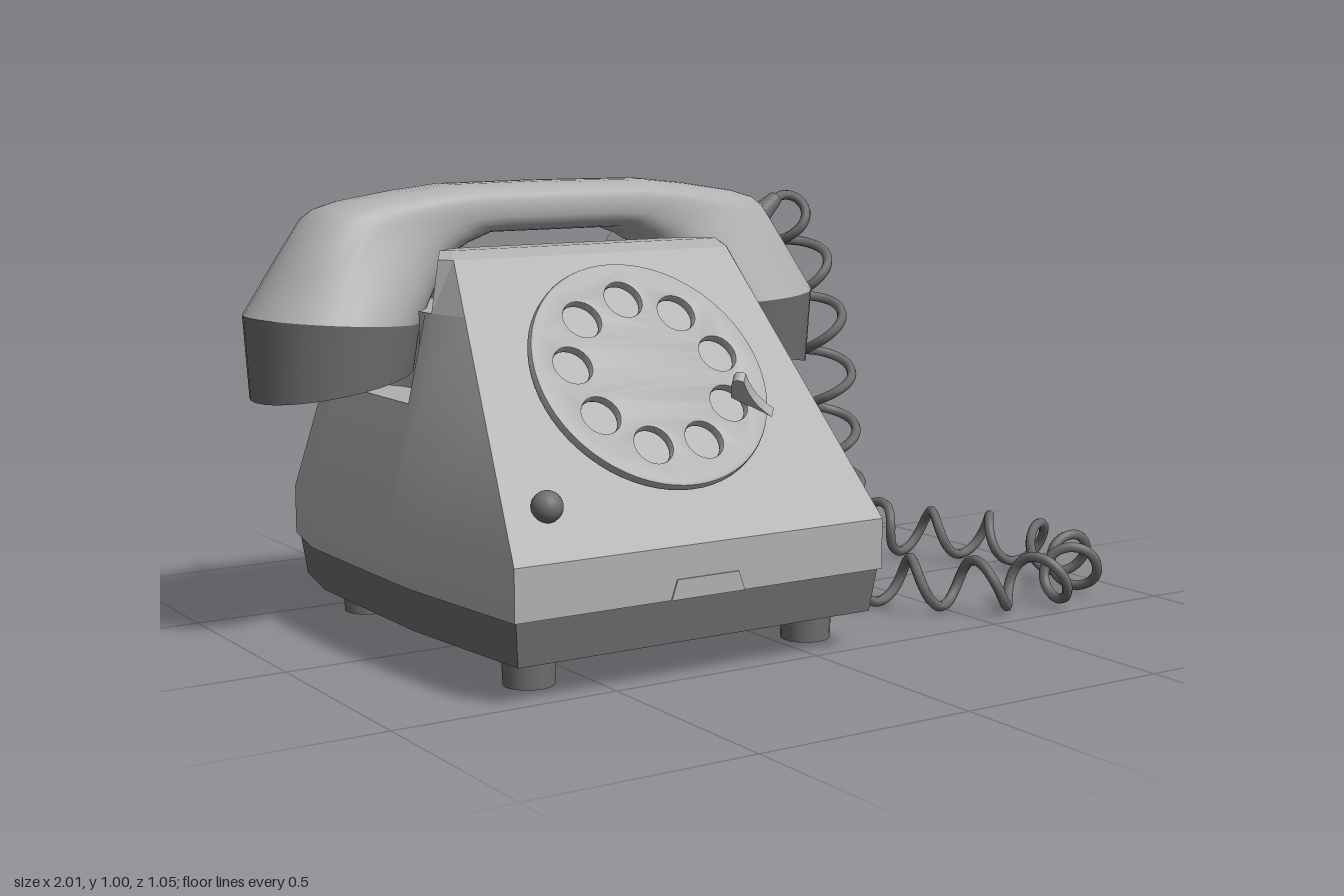
import * as THREE from 'three';
import { toCreasedNormals } from 'three/addons/utils/BufferGeometryUtils.js';

const CX = -0.295; // centre line of the telephone

// Skin between rings of points, closed with fans at the ends
function loft(rings, crease = 0.5, capStart = true, capEnd = true) {
  const pos = [];
  const tri = (a, b, c) => pos.push(...a, ...b, ...c);
  const centre = (r) => [0, 1, 2].map((k) => r.reduce((s, p) => s + p[k], 0) / r.length);
  const n = rings[0].length;
  for (let j = 0; j + 1 < rings.length; j++) {
    for (let i = 0; i < n; i++) {
      const k = (i + 1) % n, a = rings[j], b = rings[j + 1];
      tri(a[i], a[k], b[k]);
      tri(a[i], b[k], b[i]);
    }
  }
  const first = rings[0], last = rings[rings.length - 1];
  for (let i = 0; i < n; i++) {
    const k = (i + 1) % n;
    if (capStart) tri(centre(first), first[k], first[i]);
    if (capEnd) tri(centre(last), last[i], last[k]);
  }
  const g = new THREE.BufferGeometry();
  g.setAttribute('position', new THREE.Float32BufferAttribute(pos, 3));
  return toCreasedNormals(g, crease);
}

// Outline measures of the housing at height y
function outline(y) {
  const t = Math.max(0, (y - 0.29) / 0.577), mix = THREE.MathUtils.lerp;
  return {
    corner: mix(0.45, 0.34, t), side: mix(0.49, 0.36, t),
    front: mix(0.525, 0.07, t), back: mix(-0.525, -0.36, t), sideZ: mix(0.13, 0.05, t),
  };
}

// Plan section of the housing; pocket carves the round recesses beside the cups
function section(y, pocket = false, scale = 1) {
  const o = outline(y);
  const half = [[o.corner, o.front], [o.side, o.sideZ]];
  for (let d = 68; d >= -68; d -= 17) {
    const a = THREE.MathUtils.degToRad(d);
    const arc = 0.515 - 0.2 * Math.cos(a);
    half.push([pocket ? Math.min(o.side, arc) : o.side, -0.147 + 0.2 * Math.sin(a)]);
  }
  half.push([o.side, -0.34], [o.corner, o.back]);
  const all = [...half, ...half.slice().reverse().map(([x, z]) => [-x, z])];
  return all.map(([x, z]) => [x * scale, y, z * scale]);
}

export function createModel() {
  const light = new THREE.MeshStandardMaterial({ color: 0xb0b0b0 });
  light.name = 'light grey';
  const dark = new THREE.MeshStandardMaterial({ color: 0x6e6e6e });
  dark.name = 'dark grey';
  const model = new THREE.Group();
  model.name = 'telephone';
  const add = (name, geo, mat, parent = model) => {
    const m = new THREE.Mesh(geo, mat);
    m.name = name;
    parent.add(m);
    return m;
  };

  // Housing
  const body = new THREE.Group();
  body.name = 'body';
  body.position.x = CX;
  model.add(body);
  add('housing', loft([section(0.18), section(0.29), section(0.55), section(0.55, true),
    section(0.74, true)], 0.3), light, body);
  const plinth = (y, s) => section(0.2, false, s).map(([x, , z]) => [x, y, z]);
  add('base', loft([plinth(0.085, 0.96), plinth(0.18, 0.985)], 0.3), dark, body);

  // Wall in front of the handset
  const wall = [[0.74, 0, 0], [0.85, 0, 0], [0.867, 0.012, 0.03]].map(([y, inX, inZ]) => {
    const o = outline(y);
    const h = [[o.corner - inX, o.front - inZ], [o.side - inX, Math.min(o.sideZ, o.front - inZ - 0.01)],
      [0.3, -0.01], [0.24, -0.02]];
    return [...h, ...h.slice().reverse().map(([x, z]) => [-x, z])].map(([x, z]) => [x, y, z]);
  });
  add('cradleFront', loft(wall, 0.3), light, body);

  // Rear cradle prongs
  for (const s of [1, -1]) {
    const rings = [[0.74, 0.25, -0.26, 0], [0.85, 0.305, -0.295, 0], [0.867, 0.315, -0.31, 0.012]].map(
      ([y, inner, z, inset]) => {
        const o = outline(y);
        const r = [[inner, z], [inner + 0.015, z - 0.005], [o.side - inset, -0.33],
          [o.corner - inset, o.back + inset], [inner, o.back + inset]].map(([x, pz]) => [s * x, y, pz]);
        return s > 0 ? r : r.reverse();
      });
    add(s > 0 ? 'leftCradleProng' : 'rightCradleProng', loft(rings, 0.3), light, body);
  }

  // Rounded ridge under the handle
  const ridge = new THREE.Shape([[0.02, 0.7], [0.02, 0.8], [0.27, 0.8], [0.32, 0.793], [0.355, 0.777],
    [0.38, 0.757], [0.396, 0.74], [0.396, 0.7]].map(([x, y]) => new THREE.Vector2(x, y)));
  const ridgeGeo = new THREE.ExtrudeGeometry(ridge, { depth: 0.48, bevelEnabled: false });
  ridgeGeo.translate(0, 0, -0.24).rotateY(Math.PI / 2);
  add('cradleRidge', toCreasedNormals(ridgeGeo, 0.5), light, body);

  // Feet
  for (const x of [-0.345, 0.345]) {
    for (const z of [-0.365, 0.39]) {
      add('foot', new THREE.CylinderGeometry(0.057, 0.054, 0.075, 20), dark, body).position.set(x, 0.053, z);
    }
  }

  // Small trapezoid tab at the lower front edge
  const tab = new THREE.Shape([[-0.09, 0.18], [0.09, 0.18], [0.075, 0.222], [-0.075, 0.222]]
    .map(([x, y]) => new THREE.Vector2(x, y)));
  add('frontTab', new THREE.ExtrudeGeometry(tab, { depth: 0.004, bevelEnabled: false }), light, body)
    .position.z = 0.524;

  // Dial on the sloping face
  const dial = new THREE.Group();
  dial.name = 'dial';
  dial.position.set(0, 0.595, 0.284);
  dial.rotation.x = -Math.atan2(0.455, 0.577);
  body.add(dial);
  const disc = new THREE.Shape().absarc(0, 0, 0.268, 0, Math.PI * 2);
  for (let i = 0; i < 9; i++) {
    const a = Math.PI / 2 + (i * Math.PI * 2) / 9;
    disc.holes.push(new THREE.Path().absarc(0.182 * Math.cos(a), 0.182 * Math.sin(a), 0.049, 0, Math.PI * 2, true));
  }
  const discGeo = new THREE.ExtrudeGeometry(disc, {
    depth: 0.012, bevelThickness: 0.006, bevelSize: 0.006, bevelSegments: 2, curveSegments: 32,
  });
  add('fingerWheel', toCreasedNormals(discGeo, 0.6), light, dial).position.z = 0.018;

  // Curved finger stop
  const hook = new THREE.Shape();
  hook.moveTo(0, 0);
  hook.lineTo(0.1, 0);
  hook.quadraticCurveTo(0.04, 0.012, 0, 0.062);
  hook.quadraticCurveTo(-0.022, 0.06, -0.018, 0.04);
  const hookGeo = new THREE.ExtrudeGeometry(hook, { depth: 0.025, bevelEnabled: false });
  hookGeo.translate(0, 0, -0.0125).rotateX(Math.PI / 2).scale(1, 1, -1);
  hookGeo.rotateY(Math.PI);
  hookGeo.scale(-1, 1, -1);
  const stop = add('fingerStop', hookGeo, light, dial);
  stop.position.set(0.175, -0.068, 0.034);
  stop.rotation.z = -0.6;
  hookGeo.computeBoundingBox();
  if (hookGeo.boundingBox.max.z < 0.03) hookGeo.rotateX(Math.PI);
  light.side = THREE.DoubleSide;

  // Knob at the lower corner of the sloping face
  const knob = add('knob', new THREE.SphereGeometry(0.033, 20, 12), dark, body);
  knob.position.set(-0.34, 0.39, 0.462);

  // Handset: rings run from one cup over the handle to the other
  // outer x, outer y, inner x, inner y, half depth, roundness exponent
  const halfRings = [
    [0.4, 0.55, 0.05, 0.61, 0.172, 2], [0.41, 0.73, 0.035, 0.705, 0.188, 2],
    [0.345, 0.83, 0.0, 0.77, 0.155, 2.2], [0.275, 0.93, -0.05, 0.85, 0.118, 2.8],
    [0.245, 0.95, -0.085, 0.87, 0.112, 3], [0.19, 0.966, -0.12, 0.882, 0.107, 3],
    [0.06, 0.986, -0.14, 0.89, 0.105, 3], [-0.05, 0.998, -0.18, 0.89, 0.105, 3],
  ];
  const ring = ([ox, oy, ix, iy, hz, e], s) => Array.from({ length: 32 }, (_, i) => {
    const a = (i / 32) * Math.PI * 2;
    const bend = (v) => Math.sign(v) * Math.abs(v) ** (2 / e);
    const u = bend(Math.cos(a)) / 2;
    const x = (ox + ix) / 2 + u * (ox - ix) - CX;
    return [CX + s * x, (oy + iy) / 2 + u * (oy - iy), -0.147 - hz * bend(Math.sin(a))];
  });
  const leftRings = halfRings.map((r) => ring(r, 1));
  const rightRings = halfRings.map((r) => ring(r, -1)).reverse();
  const middle = ring([CX, 1, CX, 0.89, 0.105, 3], 1);
  add('handset', loft([...leftRings.slice(1), middle, ...rightRings.slice(0, -1)], 0.6), light);
  add('leftCup', loft(leftRings.slice(0, 2), 0.6), dark);
  add('rightCup', loft(rightRings.slice(-2), 0.6), dark);

  // Strain reliefs where the cord enters
  const relief = (name, from, to) => {
    const a = new THREE.Vector3(...from), d = new THREE.Vector3(...to).sub(a);
    const m = add(name, new THREE.CylinderGeometry(0.017, 0.033, d.length(), 14), dark);
    m.position.copy(a).addScaledVector(d, 0.5);
    m.quaternion.setFromUnitVectors(new THREE.Vector3(0, 1, 0), d.normalize());
  };
  relief('handsetCordRelief', [0.275, 0.88, -0.147], [0.35, 0.94, -0.15]);
  relief('baseCordRelief', [0.16, 0.135, -0.27], [0.235, 0.125, -0.275]);

  // Coiled cord: a helix wound round a loose path
  const path = new THREE.CatmullRomCurve3([
    [0.34, 0.935, -0.15], [0.42, 0.91, -0.19], [0.5, 0.74, -0.215], [0.565, 0.55, -0.225],
    [0.6, 0.35, -0.24], [0.65, 0.15, -0.25], [0.76, 0.075, -0.2], [0.87, 0.072, -0.08],
    [0.945, 0.072, 0.1], [0.93, 0.072, 0.27], [0.84, 0.072, 0.39], [0.7, 0.072, 0.44],
    [0.55, 0.072, 0.4], [0.42, 0.072, 0.28], [0.325, 0.072, 0.12], [0.27, 0.075, -0.05],
    [0.29, 0.085, -0.18], [0.28, 0.12, -0.26], [0.225, 0.125, -0.275],
  ].map((p) => new THREE.Vector3(...p)));
  const steps = 300, turns = 19;
  const frames = path.computeFrenetFrames(steps, false);
  const coil = [];
  for (let i = 0; i <= steps; i++) {
    const t = i / steps, a = t * turns * Math.PI * 2;
    const r = 0.054 * Math.min(1, t * 18, (1 - t) * 18);
    coil.push(path.getPointAt(t)
      .addScaledVector(frames.normals[i], r * Math.cos(a))
      .addScaledVector(frames.binormals[i], r * Math.sin(a)));
  }
  add('cord', new THREE.TubeGeometry(new THREE.CatmullRomCurve3(coil), 600, 0.012, 7), dark);

  return model;
}
